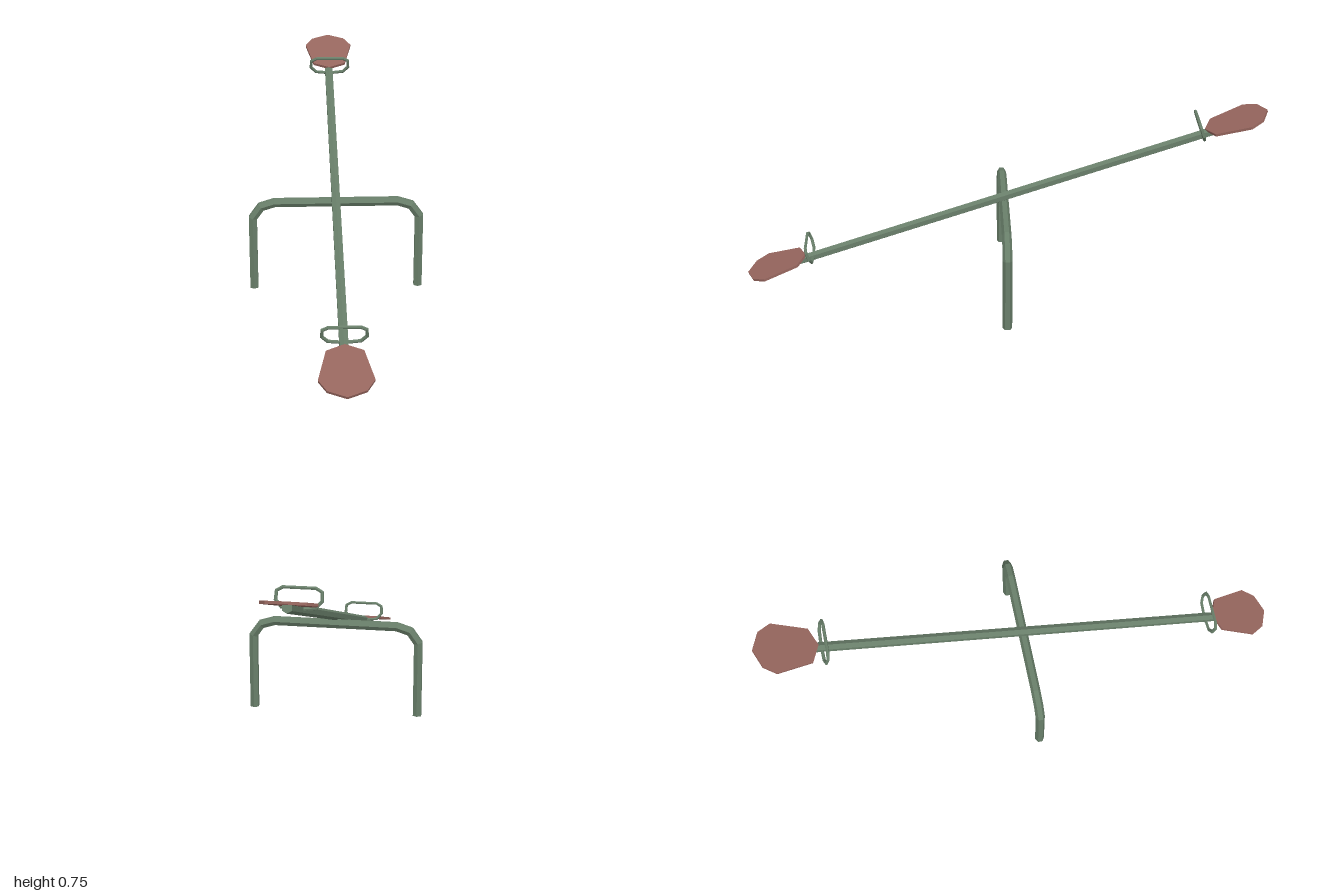
import * as THREE from 'three';

const SIDES = 6;

// Sweeps a hexagonal pipe along a path in the xy plane, with mitred corners and an edge facing +z.
function pipe(path, radius, closed) {
  const pts = path.map(([x, y]) => new THREE.Vector2(x, y));
  const n = pts.length;
  const positions = [];
  pts.forEach((p, i) => {
    const before = closed || i > 0 ? pts[(i + n - 1) % n] : null;
    const after = closed || i < n - 1 ? pts[(i + 1) % n] : null;
    const dirIn = before ? p.clone().sub(before).normalize() : after.clone().sub(p).normalize();
    const dirOut = after ? after.clone().sub(p).normalize() : dirIn;
    const tangent = dirIn.clone().add(dirOut).normalize();
    const stretch = 1 / tangent.dot(dirIn);
    for (let k = 0; k < SIDES; k++) {
      const a = (k / SIDES) * Math.PI * 2;
      const w = Math.sin(a) * radius * stretch;
      positions.push(p.x - tangent.y * w, p.y + tangent.x * w, Math.cos(a) * radius);
    }
  });
  const index = [];
  for (let i = 0; i < (closed ? n : n - 1); i++) {
    for (let k = 0; k < SIDES; k++) {
      const a = i * SIDES + k, b = i * SIDES + (k + 1) % SIDES;
      const j = ((i + 1) % n) * SIDES;
      const c = j + (k + 1) % SIDES, d = j + k;
      index.push(a, c, b, a, d, c);
    }
  }
  // End caps
  if (!closed) {
    const last = (n - 1) * SIDES;
    for (let k = 1; k < SIDES - 1; k++) {
      index.push(0, k, k + 1, last, last + k + 1, last + k);
    }
  }
  const geo = new THREE.BufferGeometry();
  geo.setAttribute('position', new THREE.Float32BufferAttribute(positions, 3));
  geo.setIndex(index);
  const flat = geo.toNonIndexed();
  flat.computeVertexNormals();
  return flat;
}

// Completes a right-hand half outline with its mirror image.
const mirror = (half) => [...half, ...half.filter(([x]) => x > 0).reverse().map(([x, y]) => [-x, y])];

export function createModel() {
  const green = new THREE.MeshStandardMaterial({ color: 0x697f6a });
  green.name = 'greenPaint';
  const red = new THREE.MeshStandardMaterial({ color: 0x95655d });
  red.name = 'redSeat';
  green.flatShading = red.flatShading = true;

  const model = new THREE.Group();
  model.name = 'seesaw';
  const add = (parent, name, geo, mat) => {
    const mesh = new THREE.Mesh(geo, mat);
    mesh.name = name;
    parent.add(mesh);
    return mesh;
  };

  // Bent support frame
  const framePath = mirror([[0.323, 0], [0.323, 0.297], [0.291, 0.342], [0.239, 0.3585]]);
  const frame = add(model, 'supportFrame', pipe(framePath, 0.0182, false), green);
  frame.position.z = -0.01;

  // Tilted assembly: beam, seats and handles
  const tilt = new THREE.Group();
  tilt.name = 'tiltingBeam';
  tilt.position.y = 0.388;
  tilt.rotation.x = Math.atan(0.3375);
  model.add(tilt);

  const near = 0.963, far = -1.016;
  const beamGeo = new THREE.CylinderGeometry(0.0184, 0.0184, near - far, SIDES).rotateX(Math.PI / 2);
  add(tilt, 'beam', beamGeo, green).position.set(-0.002, 0, (near + far) / 2);

  // Seat outline runs outward from the inner point
  const seatShape = new THREE.Shape(mirror([
    [0, 0], [0.066, 0.03], [0.097, 0.165], [0.068, 0.214], [0, 0.243],
  ]).map(([x, y]) => new THREE.Vector2(x, y)));
  const seatGeo = new THREE.ExtrudeGeometry(seatShape, { depth: 0.01, bevelEnabled: false })
    .rotateX(Math.PI / 2).translate(0, 0.0195, 0);

  // Handle loop stands square to the beam
  const handleGeo = pipe(mirror([
    [0, 0], [0.058, 0.007], [0.079, 0.031], [0.077, 0.062], [0.056, 0.074],
  ]), 0.0062, true);

  const ends = [
    { name: 'front', seat: 0.806, handle: 0.78, turn: 0 },
    { name: 'back', seat: -0.819, handle: -0.805, turn: Math.PI },
  ];
  for (const end of ends) {
    const seat = add(tilt, end.name + 'Seat', seatGeo, red);
    seat.position.z = end.seat;
    seat.rotation.y = end.turn;
    add(tilt, end.name + 'Handle', handleGeo, green).position.z = end.handle;
  }
  return model;
}
